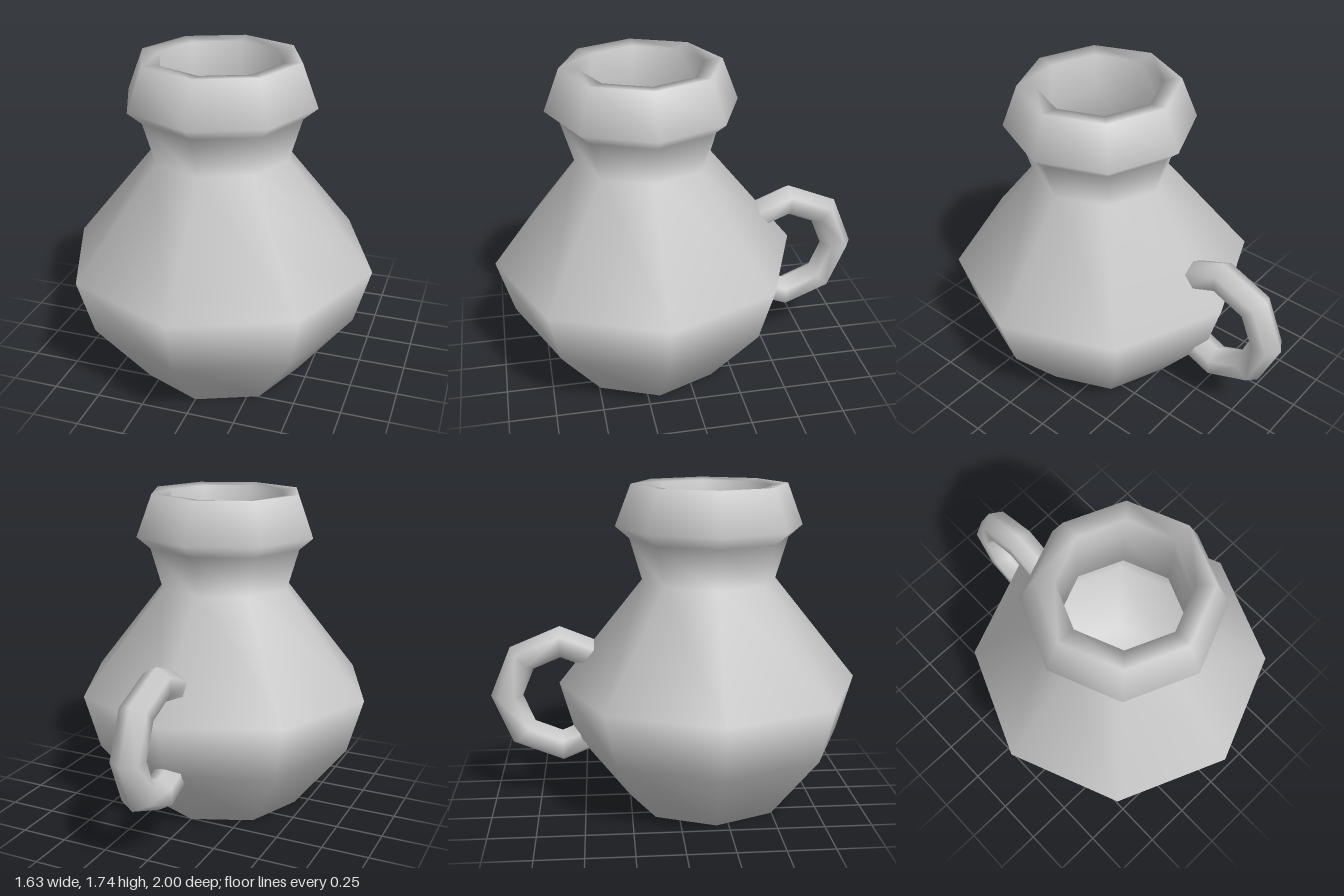
import * as THREE from 'three';

const material = new THREE.MeshStandardMaterial({ color: 0xcccccc, side: THREE.DoubleSide });

export function createModel() {
  const group = new THREE.Group();
  group.name = 'jug';

  // Eight-sided vessel: base, belly, neck and collar outside, then the hollow inside
  const profile = [
    [0, 0], [0.44, 0], [0.73, 0.37], [0.815, 0.67], [0.36, 1.235],
    [0.425, 1.455], [0.5, 1.52], [0.415, 1.74],
    [0.32, 1.73], [0.345, 1.5], [0.325, 1.25], [0.73, 0.67],
    [0.65, 0.4], [0.38, 0.08], [0, 0.08],
  ].map(([r, y]) => new THREE.Vector2(r, y));
  const body = new THREE.Mesh(new THREE.LatheGeometry(profile, 8), material);
  body.name = 'body';
  body.position.z = 0.185;
  group.add(body);

  // Ring handle at the back, its two ends buried in the belly
  const ring = new THREE.TorusGeometry(0.295, 0.087, 6, 6, Math.PI * 1.5);
  ring.rotateZ(-Math.PI * 0.75);
  ring.rotateY(Math.PI / 2);
  const handle = new THREE.Mesh(ring, material);
  handle.name = 'handle';
  handle.position.set(0, 0.605, -0.62);
  group.add(handle);

  return group;
}
